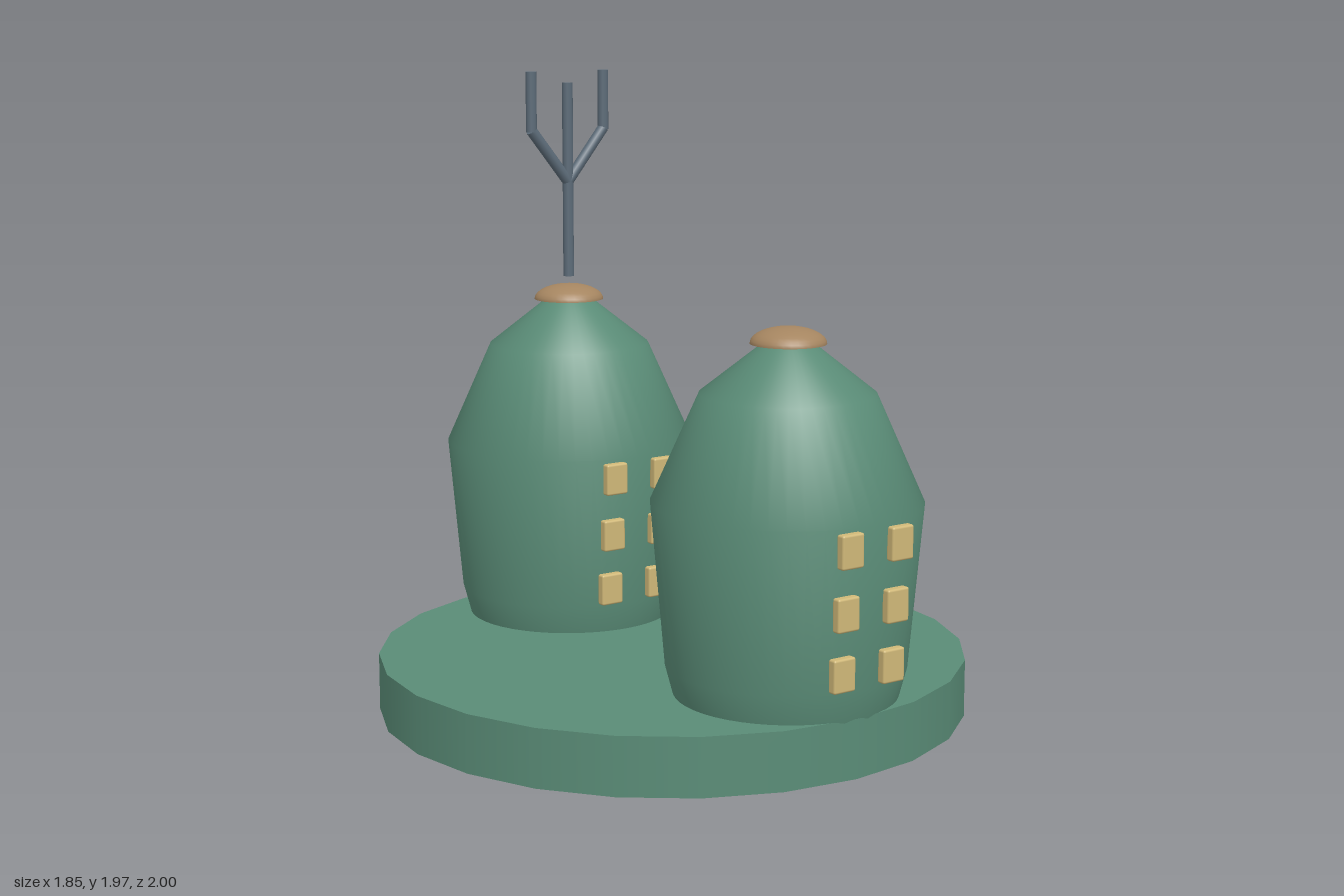
import * as THREE from 'three';
import { RoundedBoxGeometry } from 'three/addons/geometries/RoundedBoxGeometry.js';

const material = (name, color) => {
  const m = new THREE.MeshStandardMaterial({ color });
  m.name = name;
  return m;
};

export function createModel() {
  const green = material('green', 0x5a8c77);
  const brown = material('brown', 0xa58560);
  const yellow = material('window yellow', 0xd0b878);
  const steel = material('steel grey', 0x5c6b78);
  const model = new THREE.Group();
  model.name = 'twinTowers';

  const add = (parent, name, geometry, mat, x = 0, y = 0, z = 0) => {
    const mesh = new THREE.Mesh(geometry, mat);
    mesh.name = name;
    mesh.position.set(x, y, z);
    parent.add(mesh);
    return mesh;
  };

  // Round base plate
  add(model, 'base', new THREE.CylinderGeometry(0.923, 0.923, 0.18, 24), green, 0, 0.09, -0.005);

  // Shared tower shapes
  const vec = ([x, y]) => new THREE.Vector2(x, y);
  const body = new THREE.LatheGeometry(
    [[0.333, 0.168], [0.36, 0.27], [0.403, 0.76], [0.26, 1.08], [0.075, 1.226]].map(vec), 48);
  const dome = new THREE.SphereGeometry(0.113, 32, 8, 0, Math.PI * 2, 0, Math.PI / 2);
  dome.scale(1, 0.44, 1);
  const pane = new RoundedBoxGeometry(0.078, 0.1, 0.03, 2, 0.007);

  // Tower: bulging body, cap and a 2 x 3 grid of windows
  const buildTower = (name, z) => {
    const tower = new THREE.Group();
    tower.name = name;
    tower.position.z = z;
    add(tower, 'towerBody', body, green);
    add(tower, 'cap', dome, brown, 0, 1.225, 0);
    add(tower, 'capUnderside', new THREE.CircleGeometry(0.113, 32), brown, 0, 1.225, 0).rotation.x = Math.PI / 2;
    [[0.335, 0.375], [0.515, 0.39], [0.7, 0.406]].forEach(([y, depth]) => {
      for (const side of [-1, 1]) add(tower, 'window', pane, yellow, side * 0.09, y, depth);
    });
    model.add(tower);
    return tower;
  };
  buildTower('frontTower', 0.581);
  const backTower = buildTower('backTower', -0.596);

  // Three-pronged mast above the back tower
  const mast = new THREE.Group();
  mast.name = 'mast';
  backTower.add(mast);
  const rod = (name, x1, y1, x2, y2) => {
    const dx = x2 - x1, dy = y2 - y1;
    const geometry = new THREE.CylinderGeometry(0.018, 0.018, Math.hypot(dx, dy), 10);
    add(mast, name, geometry, steel, (x1 + x2) / 2, (y1 + y2) / 2, 0).rotation.z = -Math.atan2(dx, dy);
  };
  rod('stem', 0, 1.3, 0, 1.93);
  for (const side of [-1, 1]) {
    rod('branch', 0, 1.61, side * 0.138, 1.78);
    rod('prong', side * 0.138, 1.775, side * 0.138, 1.968);
  }
  return model;
}
